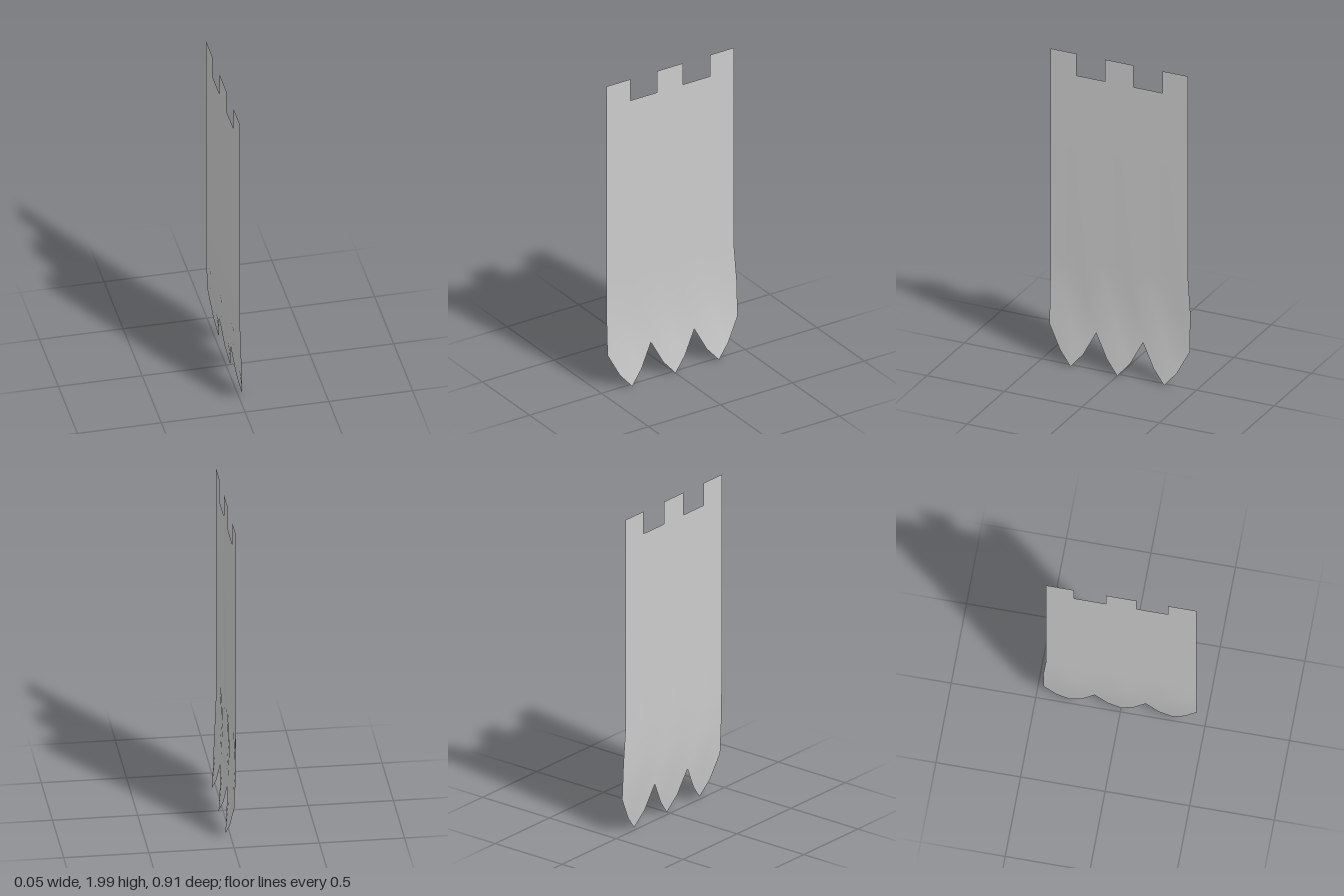
import * as THREE from 'three';

const HALF = 0.453;   // half width of the cloth along z
const BACK = -0.02;   // x of the flat upper cloth
const TAILS = 3;
const COLS = TAILS * 4;
const NOTCH_Y = 1.86;

// Cloth cross-sections from the notch line down: y, x at a tail's centre, x between tails
const ROWS = [
  [NOTCH_Y, BACK, BACK],
  [0.7, BACK, BACK],
  [0.47, -0.027, -0.017],
  [0.24, -0.008, -0.007],
];

// Builds one open sheet from a list of rows of points
function sheet(rows) {
  const cols = rows[0].length;
  const index = [];
  for (let r = 0; r < rows.length - 1; r++) {
    for (let c = 0; c < cols - 1; c++) {
      const a = r * cols + c, b = a + 1, d = a + cols, e = d + 1;
      const gap = (k) => rows[r][k].distanceTo(rows[r + 1][k]) > 1e-4;
      if (gap(c)) index.push(a, d, gap(c + 1) ? e : b);
      if (gap(c + 1)) index.push(a, e, b);
    }
  }
  const g = new THREE.BufferGeometry().setFromPoints(rows.flat());
  g.setIndex(index);
  g.computeVertexNormals();
  return g;
}

export function createModel() {
  const model = new THREE.Group();
  model.name = 'banner';
  const cloth = new THREE.MeshStandardMaterial({ color: 0xcccccc, side: THREE.DoubleSide });
  const add = (name, geometry) => {
    const mesh = new THREE.Mesh(geometry, cloth);
    mesh.name = name;
    model.add(mesh);
  };

  // 0 between tails, 0.5 on a tail's flank, 1 at its centre
  const tailness = (c) => 1 - Math.abs((c % 4) - 2) / 2;
  const columns = Array.from({ length: COLS + 1 }, (_, c) => c);
  const zAt = (c, y) => (c === COLS && y > 0.6 ? -0.436 : HALF - (2 * HALF * c) / COLS);

  // Main cloth, rippling towards the hem
  const rows = ROWS.map(([y, xTip, xGap]) => columns.map((c) =>
    new THREE.Vector3(THREE.MathUtils.lerp(xGap, xTip, tailness(c)), y, zAt(c, y))));

  // Pointed hem: each tail bows out on its flanks and curls forward at its tip
  const hemY = [0.24, 0.095, 0.008];
  const hemX = [-0.007, 0.009, 0.025];
  rows.push(columns.map((c) => {
    const k = tailness(c) * 2;
    if (k === 0) return rows[3][c].clone();
    return new THREE.Vector3(hemX[k], hemY[k], zAt(c, 0));
  }));
  add('cloth', sheet(rows));

  // Three hanging tabs along the top edge
  [[HALF, 0.285], [0.1, -0.082], [-0.27, -0.436]].forEach(([z0, z1], i) => {
    add(`topTab${i + 1}`, sheet([2, NOTCH_Y].map((y) =>
      [z0, z1].map((z) => new THREE.Vector3(BACK, y, z)))));
  });

  return model;
}
